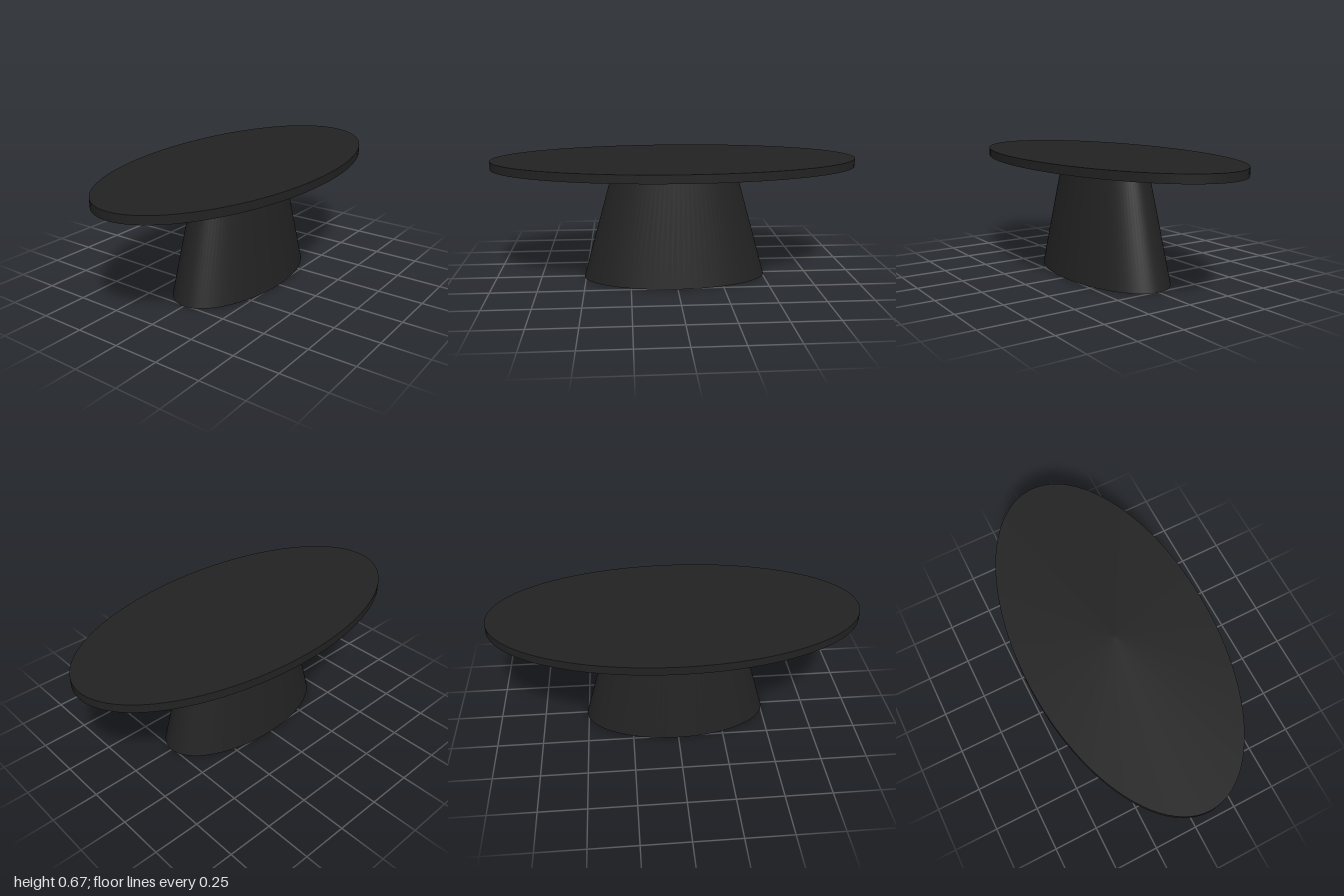
import * as THREE from 'three';

// Elliptical (optionally tapered) solid between two heights
function ellipticSolid(name, topRadius, bottomRadius, y0, y1, depthRatio, material) {
  const geometry = new THREE.CylinderGeometry(topRadius, bottomRadius, y1 - y0, 96);
  geometry.scale(1, 1, depthRatio);
  geometry.translate(0, (y0 + y1) / 2, 0);
  const mesh = new THREE.Mesh(geometry, material);
  mesh.name = name;
  return mesh;
}

export function createModel() {
  const black = new THREE.MeshStandardMaterial({ color: 0x222222 });
  black.name = 'matte black';

  const table = new THREE.Group();
  table.name = 'ovalTable';
  table.add(
    // Tapered pedestal
    ellipticSolid('pedestal', 0.335, 0.51, 0, 0.625, 0.518, black),
    // Thin oval top
    ellipticSolid('tableTop', 1, 1, 0.625, 0.67, 0.506, black),
  );
  return table;
}
